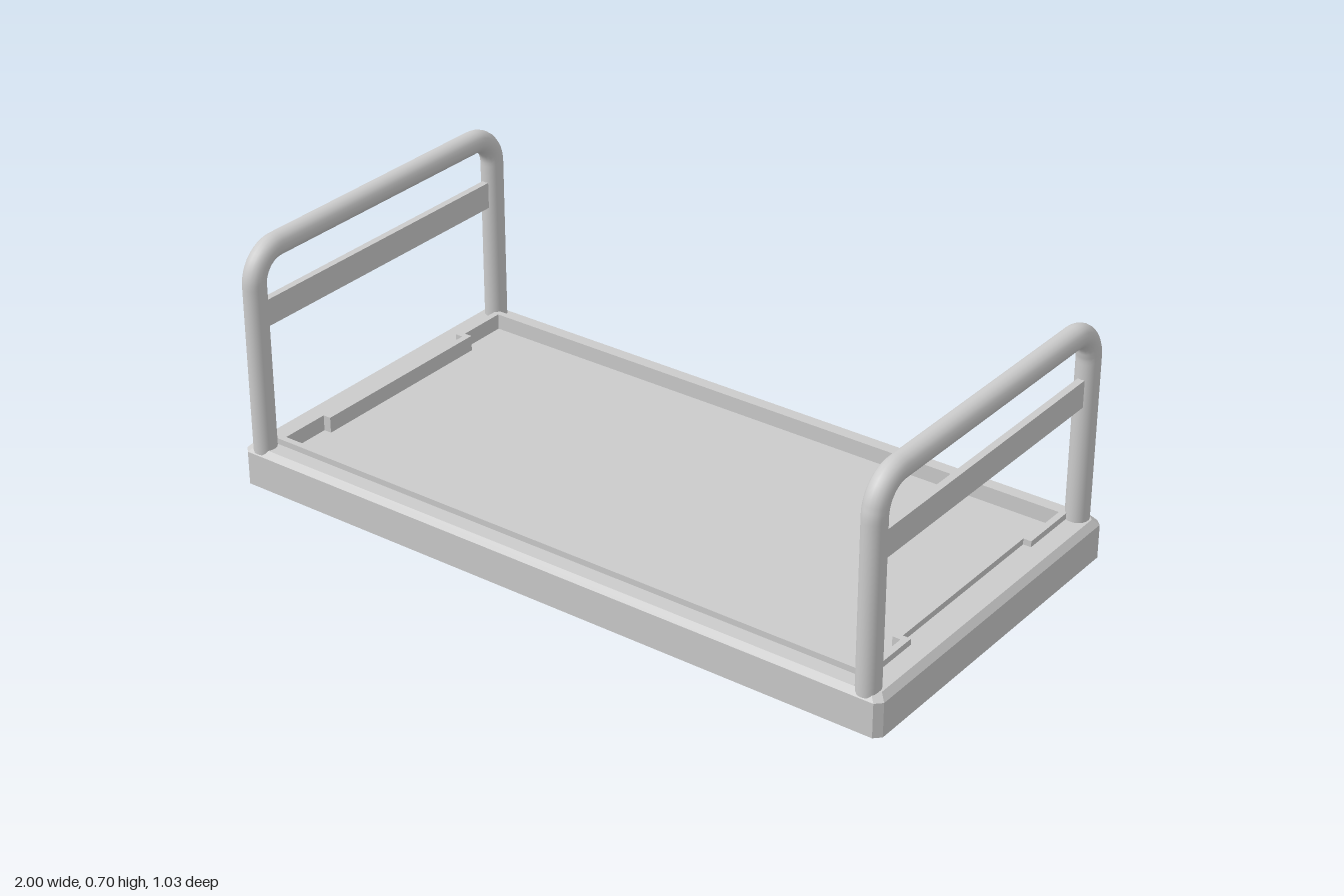
import * as THREE from 'three';

const material = new THREE.MeshStandardMaterial({ color: 0xcccccc });

function part(name, geometry) {
  const mesh = new THREE.Mesh(geometry, material);
  mesh.name = name;
  return mesh;
}

const points = (list) => list.map(([x, z]) => new THREE.Vector2(x, z));

// Rectangle with small cut corners
function deckOutline(x, z, cut) {
  return points([
    [x, -z + cut], [x, z - cut], [x - cut, z], [-x + cut, z],
    [-x, z - cut], [-x, -z + cut], [-x + cut, -z], [x - cut, -z],
  ]);
}

// Rectangle whose short ends step inward between the corner pockets
function trayOutline(inset) {
  const x = 0.93 - inset, z = 0.457 - inset;
  const stepX = 0.907 - inset, stepZ = 0.275 + inset;
  return points([
    [x, -z], [x, -stepZ], [stepX, -stepZ], [stepX, stepZ], [x, stepZ], [x, z],
    [-x, z], [-x, stepZ], [-stepX, stepZ], [-stepX, -stepZ], [-x, -stepZ], [-x, -z],
  ]);
}

// Extrudes a plan outline upward from bottom to top
function slab(outline, hole, bottom, top) {
  const shape = new THREE.Shape(outline);
  if (hole) shape.holes.push(new THREE.Path(hole));
  const geometry = new THREE.ExtrudeGeometry(shape, { depth: top - bottom, bevelEnabled: false });
  return geometry.rotateX(-Math.PI / 2).translate(0, bottom, 0);
}

function createDeck() {
  const deck = new THREE.Group();
  deck.name = 'deck';
  const outline = deckOutline(1, 0.514, 0.018);
  deck.add(part('deckFrame', slab(outline, trayOutline(0), 0, 0.096)));

  // Sloped top edge: pull the upper outer corners inward
  const edge = slab(outline, trayOutline(0), 0.096, 0.113);
  const p = edge.attributes.position;
  for (let i = 0; i < p.count; i++) {
    const x = p.getX(i), z = p.getZ(i);
    const outer = Math.abs(x) > 0.96 || Math.abs(z) > 0.48;
    if (outer && p.getY(i) > 0.105) {
      p.setX(i, x - Math.sign(x) * 0.016);
      p.setZ(i, z - Math.sign(z) * 0.014);
    }
  }
  edge.computeVertexNormals();
  deck.add(part('deckTopEdge', edge));

  // Sunken tray with its raised lip
  deck.add(part('trayFloor', slab(trayOutline(0), null, 0.02, 0.085)));
  deck.add(part('trayLip', slab(trayOutline(0), trayOutline(0.018), 0.085, 0.13)));
  return deck;
}

// Bent tube handle with a flat cross slat
function createHandle(name, x, top) {
  const handle = new THREE.Group();
  handle.name = name;
  const r = 0.032, bend = 0.085, half = 0.477, base = 0.1, y = top - r;
  const v = (py, pz) => new THREE.Vector3(0, py, pz);
  const path = [v(base, half), v(y - bend, half)];
  const steps = 10;
  for (const side of [1, -1]) {
    for (let i = 1; i <= steps; i++) {
      const a = (Math.PI / 2) * (side > 0 ? i / steps : 1 - i / steps);
      path.push(v(y - bend + bend * Math.sin(a), side * (half - bend + bend * Math.cos(a))));
    }
    if (side > 0) path.push(v(y, -(half - bend)));
  }
  path.push(v(base, -half));
  const curve = new THREE.CurvePath();
  for (let i = 1; i < path.length; i++) {
    if (path[i].distanceTo(path[i - 1]) > 1e-4) curve.add(new THREE.LineCurve3(path[i - 1], path[i]));
  }
  handle.add(part('handleTube', new THREE.TubeGeometry(curve, 160, r, 18, false)));

  const slat = part('handleSlat', new THREE.BoxGeometry(0.02, 0.076, 2 * half - r));
  slat.position.y = top - 0.208;
  handle.add(slat);
  handle.position.set(x, 0, 0.005);
  return handle;
}

export function createModel() {
  const model = new THREE.Group();
  model.name = 'platformCart';
  model.add(createDeck());
  model.add(createHandle('rightHandle', -0.947, 0.7));
  model.add(createHandle('leftHandle', 0.947, 0.69));
  return model;
}
